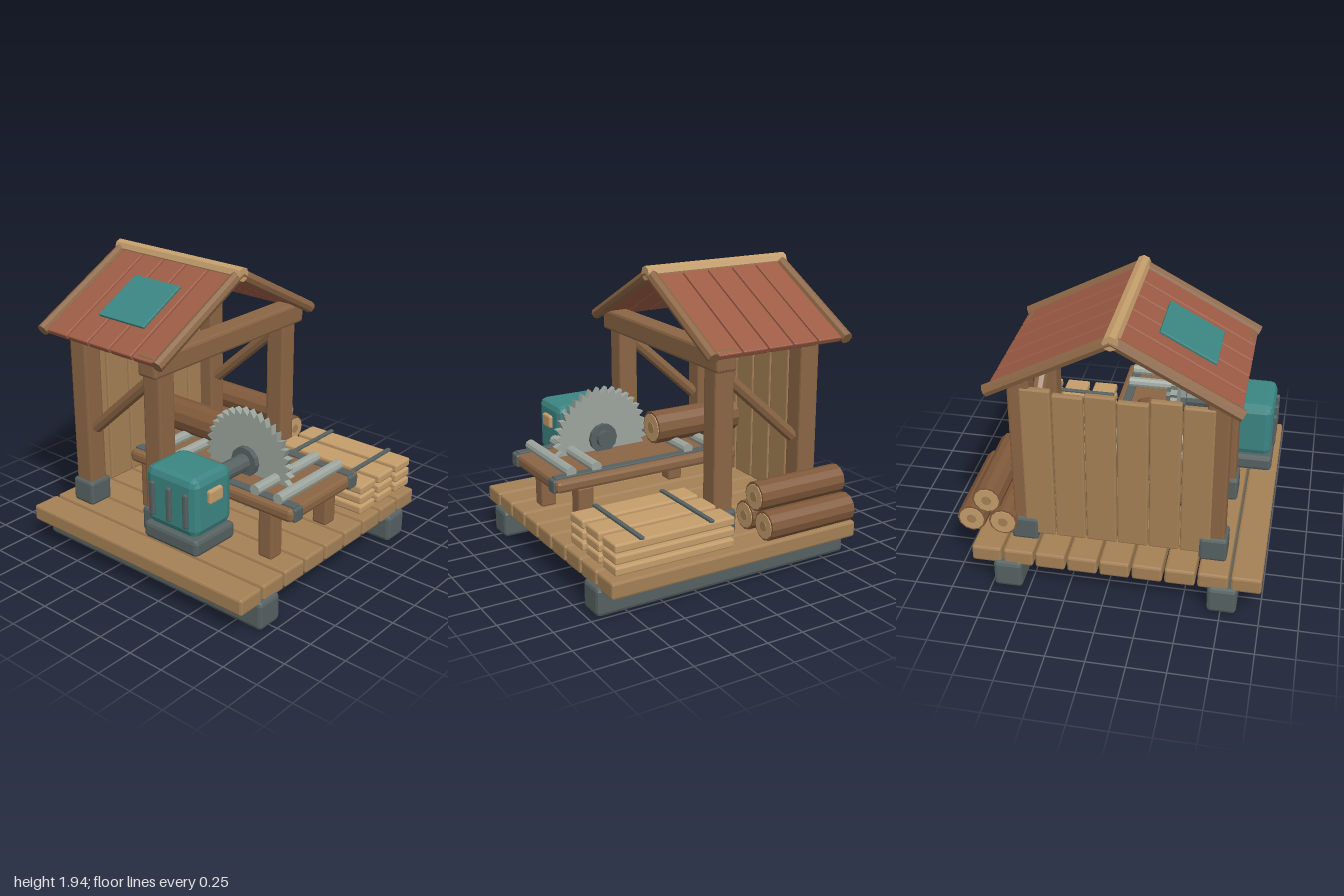
import * as THREE from 'three';
import { RoundedBoxGeometry } from 'three/addons/geometries/RoundedBoxGeometry.js';

const mat = (color) => new THREE.MeshStandardMaterial({ color, flatShading: true });
const M = {
  brown: mat(0x8b6544), bark: mat(0x80593a), deck: mat(0xa48055), pale: mat(0xc49d6b),
  steel: mat(0x566161), silver: mat(0x9ca59d), teal: mat(0x3b8582), red: mat(0x9c5b44),
};

export function createModel() {
  const root = new THREE.Group();

  const add = (name, geometry, material, x, y, z, parent = root) => {
    const mesh = new THREE.Mesh(geometry, material);
    mesh.name = name;
    mesh.position.set(x, y, z);
    parent.add(mesh);
    return mesh;
  };
  // chamfered box centred on a point
  const box = (name, m, w, h, d, x, y, z, r = 0.015, parent = root) =>
    add(name, new RoundedBoxGeometry(w, h, d, 1, r), m, x, y, z, parent);
  // cylinder running along one axis
  const rod = (name, m, axis, r, len, x, y, z, sides = 12, parent = root) => {
    const g = new THREE.CylinderGeometry(r, r, len, sides);
    if (axis === 'x') g.rotateZ(Math.PI / 2);
    if (axis === 'z') g.rotateX(Math.PI / 2);
    return add(name, g, m, x, y, z, parent);
  };
  // pole between two points
  const pole = (name, m, r, a, b, sides = 8) => {
    const from = new THREE.Vector3(...a), to = new THREE.Vector3(...b);
    const mid = from.clone().add(to).multiplyScalar(0.5);
    const mesh = add(name, new THREE.CylinderGeometry(r, r, from.distanceTo(to), sides), m, mid.x, mid.y, mid.z);
    mesh.quaternion.setFromUnitVectors(new THREE.Vector3(0, 1, 0), to.sub(from).normalize());
    return mesh;
  };

  // Skids and deck
  for (const x of [-0.755, 0.64]) box('skid', M.steel, 0.19, 0.19, 1.88, x, 0.095, 0.01, 0.025);
  for (let i = 0; i < 9; i++) box('deckPlank', M.deck, 0.195, 0.11, 1.83, -0.9025 + i * 0.2105, 0.225, 0.01);

  // Posts, feet and braces
  for (const x of [-0.67, 0.555]) {
    for (const [z, top] of [[-0.02, 1.4], [-0.678, 1.5]]) {
      box('post', M.brown, 0.14, top - 0.28, 0.142, x, (top + 0.28) / 2, z);
      box('postFoot', M.steel, 0.18, 0.17, 0.18, x, 0.365, z, 0.02);
    }
    rod('footBolt', M.pale, 'z', 0.035, 0.03, x, 0.36, 0.08, 8);
    pole('brace', M.brown, 0.042, [x, 1.3, -0.09], [x, 0.84, -0.6]);
  }
  box('frontBeam', M.brown, 1.48, 0.145, 0.15, -0.06, 1.45, 0.003, 0.02);

  // Back wall, with slightly uneven tops
  for (let i = 0; i < 6; i++) {
    const top = 1.4 + [0, 0.02, -0.01, 0.015, -0.005, 0.02][i];
    box('wallPlank', M.deck, 0.193, top - 0.33, 0.045, -0.555 + i * 0.201, (top + 0.33) / 2, -0.735, 0.01);
  }

  // Roof
  const ridgeX = -0.06, slope = Math.atan(0.54), length = 0.85;
  for (const s of [-1, 1]) {
    const side = new THREE.Group();
    side.name = s < 0 ? 'rightRoof' : 'leftRoof';
    side.position.set(ridgeX, 1.885, 0);
    side.rotation.z = -s * slope;
    root.add(side);
    for (let i = 0; i < 5; i++)
      box('roofPlank', M.red, length, 0.04, 0.182, s * length / 2, 0, -0.01 - i * 0.193, 0.008, side);
    if (s < 0) box('roofPatch', M.teal, 0.39, 0.02, 0.4, -0.432, 0.028, -0.38, 0.005, side);
    for (const z of [0.115, -0.912])
      pole('rafter', M.brown, 0.04, [ridgeX, 1.89, z], [ridgeX + s * 0.76, 1.485, z]);
  }
  rod('ridgePole', M.pale, 'z', 0.048, 1.1, ridgeX, 1.892, -0.398, 8);

  // Saw table
  box('tableTop', M.brown, 0.72, 0.085, 1.355, -0.185, 0.638, 0.25, 0.025);
  for (const x of [-0.47, 0.1]) {
    for (const z of [0.715, -0.295]) box('tableLeg', M.brown, 0.11, 0.33, 0.11, x, 0.44, z);
    box('tableRail', M.steel, 0.062, 0.02, 1.33, x, 0.682, 0.25, 0.005);
    box('railCap', M.steel, 0.085, 0.09, 0.04, x, 0.637, 0.918, 0.012);
  }
  for (const z of [0.8, 0.62, -0.07, -0.25]) rod('roller', M.silver, 'x', 0.037, 0.63, -0.195, 0.71, z, 10);

  // Toothed blade, hub and drive shaft
  const teeth = 36, outline = new THREE.Shape();
  for (let i = 0; i < teeth; i++) {
    const a = (i / teeth) * Math.PI * 2, b = ((i + 0.3) / teeth) * Math.PI * 2;
    outline[i ? 'lineTo' : 'moveTo'](Math.cos(a) * 0.305, Math.sin(a) * 0.305);
    outline.lineTo(Math.cos(b) * 0.35, Math.sin(b) * 0.35);
  }
  const bladeGeo = new THREE.ExtrudeGeometry(outline, { depth: 0.045, bevelEnabled: false });
  bladeGeo.translate(0, 0, -0.0225).rotateY(Math.PI / 2);
  add('sawBlade', bladeGeo, M.silver, -0.275, 0.765, 0.385);
  rod('bladeFlange', M.steel, 'x', 0.1, 0.11, -0.28, 0.765, 0.385);
  rod('driveShaft', M.steel, 'x', 0.058, 0.45, -0.415, 0.765, 0.385);

  // Motor
  box('motorBase', M.steel, 0.36, 0.11, 0.44, -0.785, 0.455, 0.325, 0.025);
  box('motorHousing', M.teal, 0.345, 0.39, 0.41, -0.783, 0.705, 0.325, 0.05);
  box('motorPlate', M.pale, 0.12, 0.09, 0.04, -0.785, 0.765, 0.535, 0.012);
  for (const z of [0.19, 0.325, 0.46]) box('motorVent', M.steel, 0.03, 0.23, 0.035, -0.963, 0.695, z, 0.01);

  // Logs: bark, pale cut ends and a darker heart
  const log = (x, y, z, r, len) => {
    const g = new THREE.Group();
    g.name = 'log';
    g.position.set(x, y, z);
    root.add(g);
    rod('bark', M.bark, 'z', r, len, 0, 0, 0, 12, g);
    rod('cutEnds', M.pale, 'z', r * 0.86, len + 0.012, 0, 0, 0, 12, g);
    rod('heart', M.deck, 'z', r * 0.34, len + 0.02, 0, 0, 0, 10, g);
  };
  log(-0.115, 0.82, -0.247, 0.112, 0.645);
  for (const [x, y] of [[0.79, 0.58], [0.9, 0.42], [0.69, 0.42]]) log(x, y, -0.467, 0.096, 0.65);

  // Sawn lumber and its straps
  for (let i = 0; i < 3; i++)
    for (let j = 0; j < 3; j++)
      box('board', M.pale, 0.172, 0.058, 0.84, 0.355 + i * 0.212, 0.338 + j * 0.073, 0.472, 0.012);
  for (const z of [0.225, 0.715]) box('strap', M.steel, 0.61, 0.02, 0.03, 0.568, 0.52, z, 0.005);

  return root;
}
